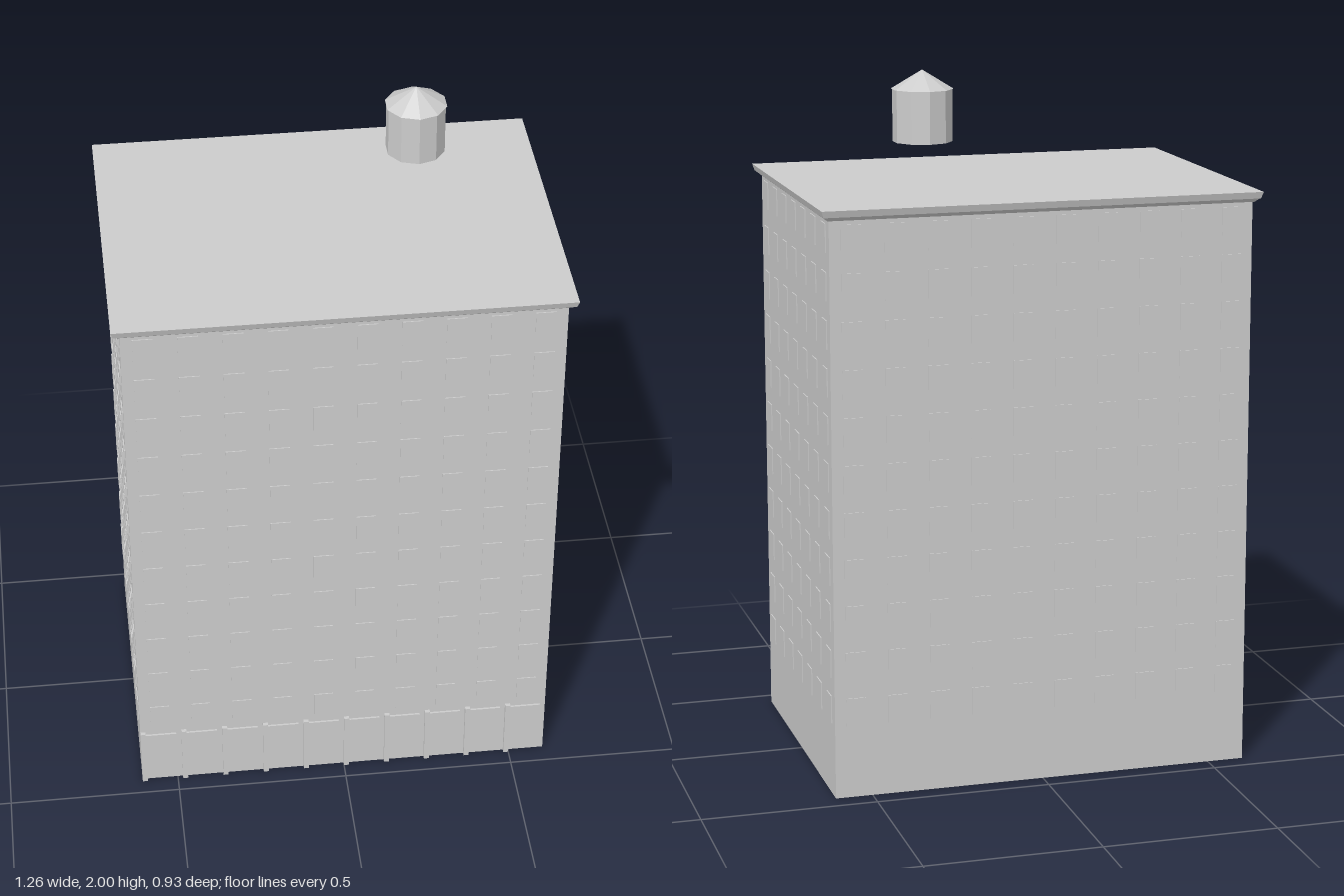
import * as THREE from 'three';
import { mergeGeometries } from 'three/addons/utils/BufferGeometryUtils.js';

const HALF_W = 0.606, HALF_D = 0.443, WALL_H = 1.64;

export function createModel() {
  const model = new THREE.Group();
  model.name = 'apartmentBlock';
  const grey = new THREE.MeshStandardMaterial({ color: 0xcccccc, side: THREE.DoubleSide, flatShading: true });
  grey.name = 'light grey';

  const add = (name, geometry, parent = model) => {
    const mesh = new THREE.Mesh(geometry, grey);
    mesh.name = name;
    parent.add(mesh);
    return mesh;
  };
  const box = (x0, x1, y0, y1, z0, z1) =>
    new THREE.BoxGeometry(x1 - x0, y1 - y0, z1 - z0)
      .translate((x0 + x1) / 2, (y0 + y1) / 2, (z0 + z1) / 2);

  // Four walls, open below, each with a grid of thin window plates
  const floors = 11, floorStep = 0.1335, sill = 0.21;
  function addWall(name, width, distance, turn, bays) {
    const side = new THREE.Group();
    side.name = name;
    side.rotation.y = turn;
    model.add(side);
    add(name + 'Surface', new THREE.PlaneGeometry(width, WALL_H).translate(0, WALL_H / 2, distance), side);
    const panes = [], bay = width / bays;
    for (let f = 0; f < floors; f++) {
      for (let b = 0; b < bays; b++) {
        const x = -width / 2 + (b + 0.5) * bay, y = sill + f * floorStep;
        panes.push(box(x - 0.028, x + 0.028, y, y + 0.08, distance - 0.003, distance + 0.003));
      }
    }
    add(name + 'Windows', mergeGeometries(panes), side);
  }
  addWall('frontWall', HALF_W * 2, HALF_D, 0, 10);
  addWall('leftWall', HALF_D * 2, HALF_W, Math.PI / 2, 7);
  addWall('backWall', HALF_W * 2, HALF_D, Math.PI, 10);
  addWall('rightWall', HALF_D * 2, HALF_W, -Math.PI / 2, 7);

  // Ground-floor pilasters and shopfront lintels
  const bay = HALF_W * 2 / 10, posts = [], lintels = [];
  for (let i = 0; i < 10; i++) {
    const x = -HALF_W + i * bay;
    posts.push(box(x, x + 0.015, 0, 0.19, HALF_D, HALF_D + 0.011));
    lintels.push(box(x + 0.015, x + 0.106, 0.155, 0.18, HALF_D, HALF_D + 0.006));
  }
  add('pilasters', mergeGeometries(posts));
  add('lintels', mergeGeometries(lintels));

  // Flared slab: a box whose top face is pushed outwards
  function flaredSlab(bottomOut, topOut, y0, y1) {
    const g = box(-1, 1, y0, y1, -1, 1);
    const p = g.attributes.position, middle = (y0 + y1) / 2;
    for (let i = 0; i < p.count; i++) {
      const out = p.getY(i) > middle ? topOut : bottomOut;
      p.setX(i, Math.sign(p.getX(i)) * (HALF_W + out));
      p.setZ(i, Math.sign(p.getZ(i)) * (HALF_D + out));
    }
    g.computeVertexNormals();
    return g;
  }
  add('lowerCornice', flaredSlab(0.004, 0.016, WALL_H - 0.003, 1.648));
  add('roofCornice', flaredSlab(0.018, 0.024, 1.648, 1.667));

  // Ten-sided water tank with a conical lid
  const tank = new THREE.Group();
  tank.name = 'waterTank';
  tank.position.set(0.265, 0, -0.137);
  model.add(tank);
  add('tankBody', new THREE.CylinderGeometry(0.084, 0.084, 0.147, 10).translate(0, 1.8735, 0), tank);
  add('tankLid', new THREE.ConeGeometry(0.088, 0.053, 10).translate(0, 1.9735, 0), tank);

  return model;
}
